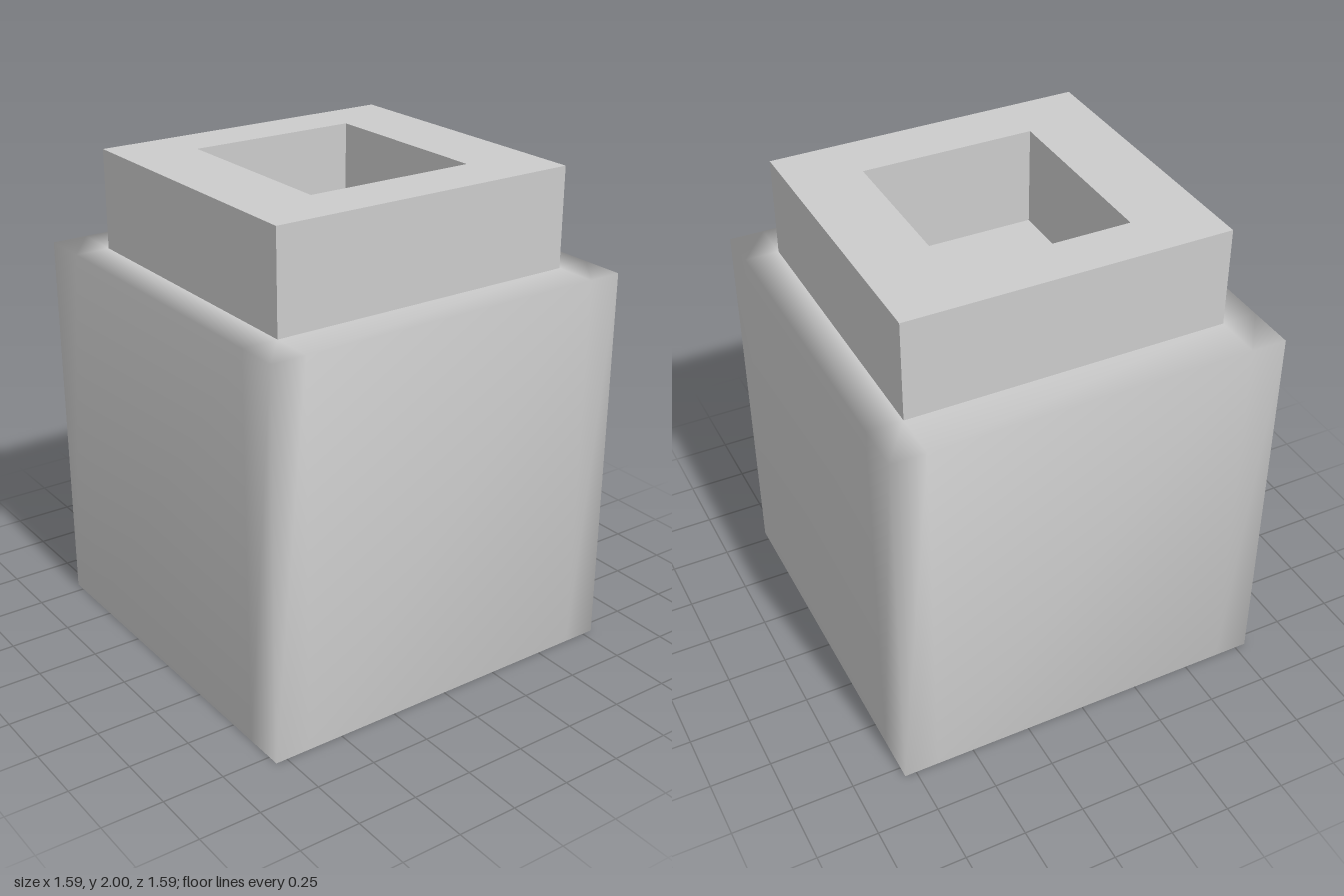
import * as THREE from 'three';
import { mergeVertices } from 'three/addons/utils/BufferGeometryUtils.js';

const HALF = 0.797, TOP = 1.594, HEIGHT = 2;
const COLLAR = { x0: -0.652, x1: 0.655, z0: -0.6, z1: 0.622 };
const OPENING = { x0: -0.35, x1: 0.366, z0: -0.39, z1: 0.39 };

// Rectangle outline, drawn with y = -z so it can be laid flat
function outline(path, { x0, x1, z0, z1 }) {
  path.moveTo(x0, -z1);
  path.lineTo(x1, -z1);
  path.lineTo(x1, -z0);
  path.lineTo(x0, -z0);
  path.closePath();
  return path;
}

// Smooth-shaded block whose edge loops line up with the collar
function bodyGeometry() {
  const box = new THREE.BoxGeometry(2 * HALF, TOP, 2 * HALF, 3, 1, 3);
  box.translate(0, TOP / 2, 0);
  const pos = box.attributes.position;
  const slide = (v, low, high) => (Math.abs(v) > HALF * 0.9 ? v : v < 0 ? low : high);
  for (let i = 0; i < pos.count; i++) {
    pos.setX(i, slide(pos.getX(i), COLLAR.x0, COLLAR.x1));
    pos.setZ(i, slide(pos.getZ(i), COLLAR.z0, COLLAR.z1));
  }
  // Weld the faces so that normals blend around the edges
  box.deleteAttribute('normal');
  box.deleteAttribute('uv');
  const welded = mergeVertices(box);
  welded.computeVertexNormals();
  return welded;
}

// Square collar with a rectangular opening down to the body
function collarGeometry() {
  const shape = outline(new THREE.Shape(), COLLAR);
  shape.holes.push(outline(new THREE.Path(), OPENING));
  const collar = new THREE.ExtrudeGeometry(shape, { depth: HEIGHT - TOP, bevelEnabled: false });
  collar.rotateX(-Math.PI / 2);
  collar.translate(0, TOP, 0);
  return collar;
}

export function createModel() {
  const group = new THREE.Group();
  group.name = 'container';
  const material = new THREE.MeshStandardMaterial({ color: 0xcccccc });
  const add = (name, geometry) => {
    const mesh = new THREE.Mesh(geometry, material);
    mesh.name = name;
    group.add(mesh);
  };
  add('body', bodyGeometry());
  add('collar', collarGeometry());
  return group;
}
